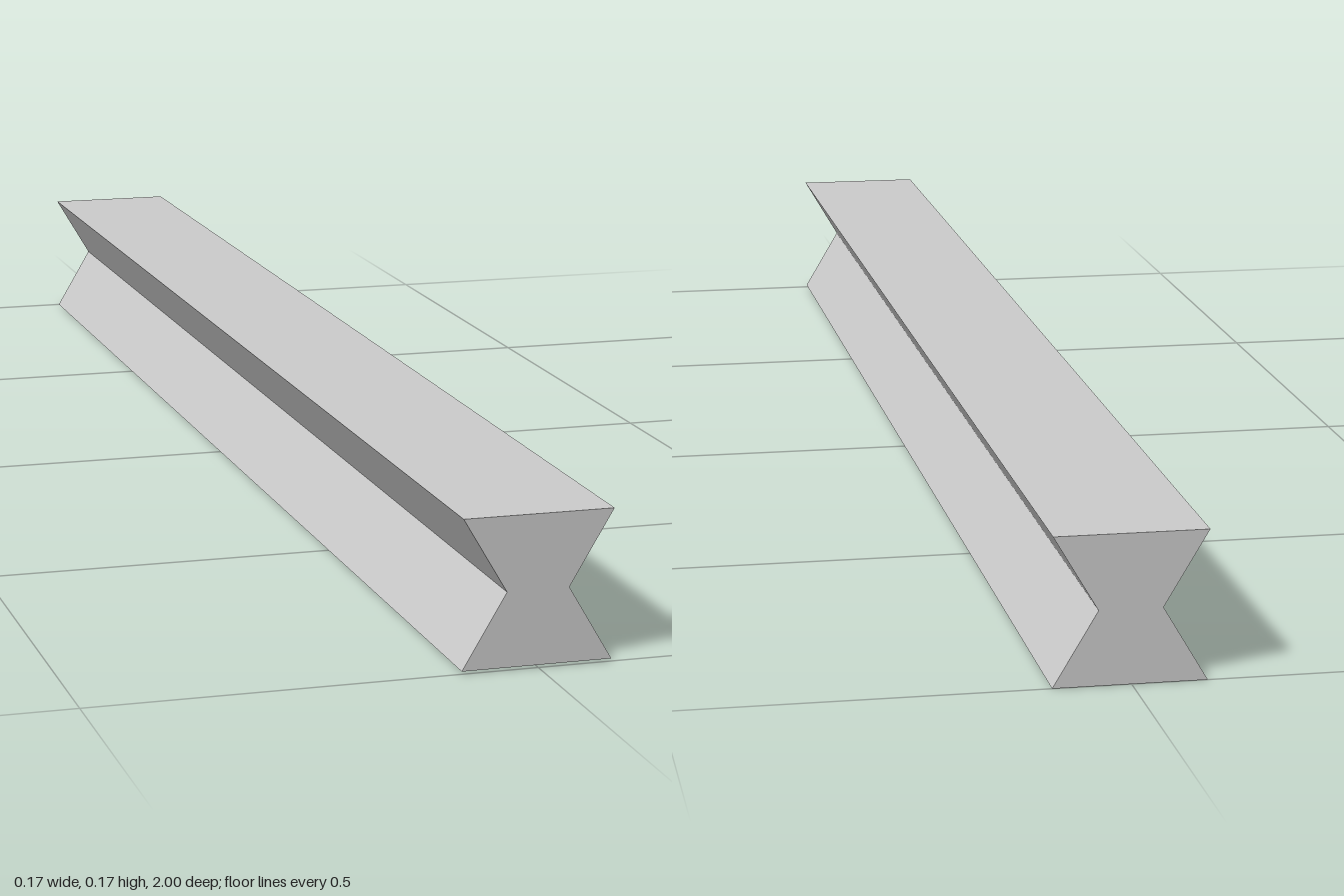
import * as THREE from 'three';

export function createModel() {
  const group = new THREE.Group();

  // Waisted bar profile: full width at top and bottom, V groove on each side
  const half = 0.0845, waist = 0.035, height = 0.167;
  const profile = new THREE.Shape([
    [-half, 0], [half, 0], [waist, height / 2],
    [half, height], [-half, height], [-waist, height / 2],
  ].map(([x, y]) => new THREE.Vector2(x, y)));

  const geometry = new THREE.ExtrudeGeometry(profile, { depth: 2, bevelEnabled: false });
  geometry.translate(0, 0, -1);

  // Very slight lean along the length: the front end sits a touch left and higher
  const p = geometry.attributes.position;
  for (let i = 0; i < p.count; i++) {
    const z = p.getZ(i);
    p.setXY(i, p.getX(i) - 0.0015 * z, p.getY(i) + 0.0015 * (z + 1));
  }
  geometry.computeVertexNormals();

  const bar = new THREE.Mesh(geometry, new THREE.MeshStandardMaterial({ color: 0xcccccc, flatShading: true }));
  bar.name = 'groovedBar';
  group.add(bar);
  return group;
}
